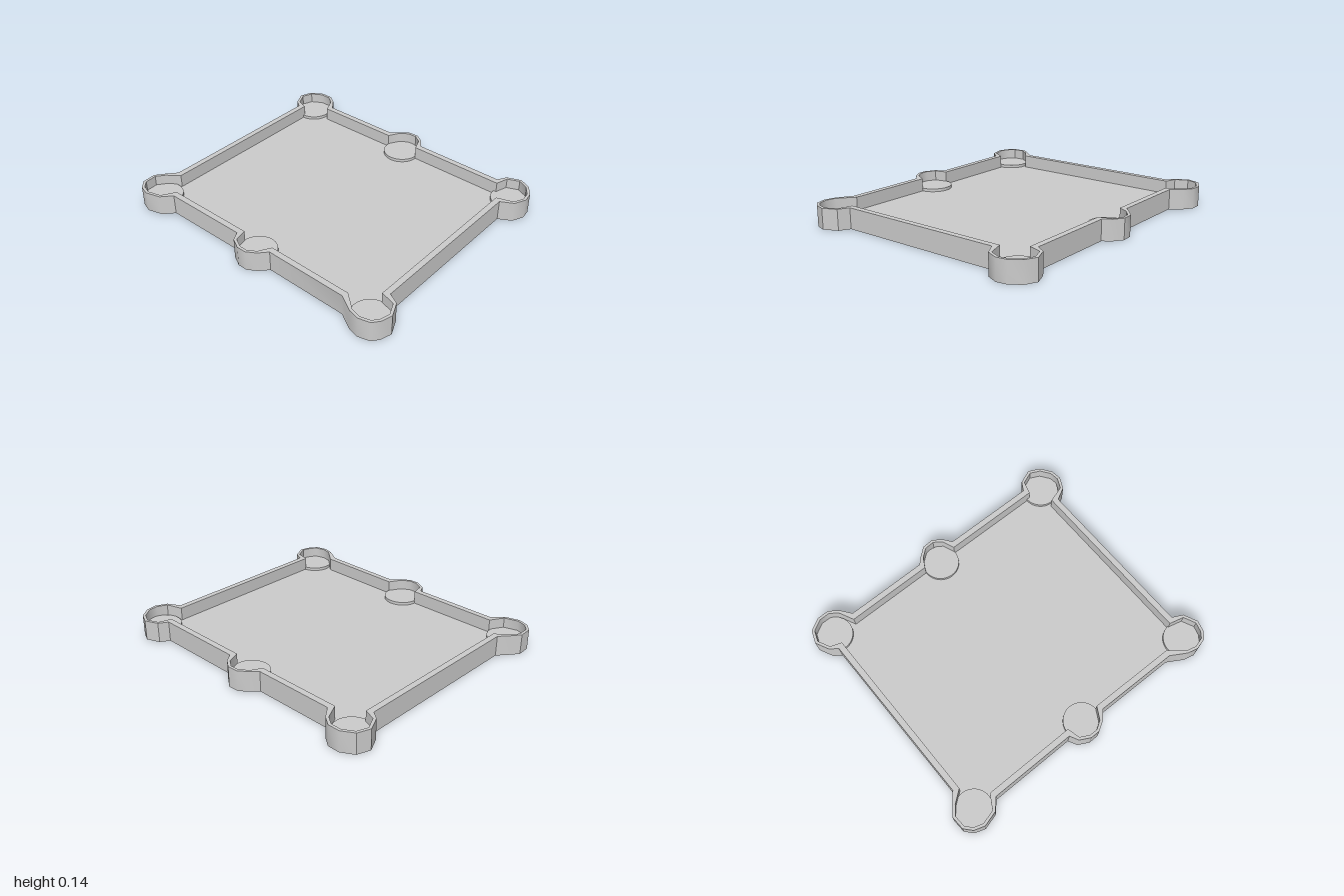
import * as THREE from 'three';
import { toCreasedNormals } from 'three/addons/utils/BufferGeometryUtils.js';

const HEIGHT = 0.137, FLOOR = 0.05, DISC = 0.07;
const WALL = 0.039, RIM = 0.018; // thickness along the sides and around the pockets

// Outer outline as [x, z], clockwise seen from above
const OUTLINE = [
  [-0.695, -0.745], [-0.15, -0.745], // back side
  [-0.11, -0.785], [-0.05, -0.833], [0.025, -0.837], [0.085, -0.795],
  [0.125, -0.74], [0.74, -0.737],
  [0.775, -0.797], [0.865, -0.833], [0.94, -0.797], [0.99, -0.727], [1, -0.657], [0.965, -0.58],
  [0.882, -0.535], [0.887, 0.59], // left side
  [0.957, 0.625], [1, 0.717], [0.98, 0.787], [0.945, 0.832], [0.87, 0.852], [0.8, 0.835],
  [0.695, 0.773], [0.135, 0.765], // front side
  [0.085, 0.82], [0.025, 0.857], [-0.04, 0.857], [-0.11, 0.82],
  [-0.14, 0.763], [-0.72, 0.763],
  [-0.78, 0.83], [-0.88, 0.858], [-0.95, 0.835], [-0.995, 0.785], [-1, 0.695], [-0.955, 0.635],
  [-0.9, 0.57], [-0.905, -0.605], // right side
  [-0.955, -0.64], [-1, -0.73], [-0.97, -0.813], [-0.89, -0.86], [-0.81, -0.86], [-0.75, -0.817],
];

// Pocket disc centres as [x, z]
const POCKETS = [
  [-0.865, -0.73], [-0.013, -0.697], [0.862, -0.697],
  [-0.865, 0.725], [0, 0.73], [0.862, 0.727],
];

// Move every corner inwards: thick where a long side starts or ends, thin in the pockets
function insetOutline(points) {
  const n = points.length;
  return points.map((p, i) => {
    const a = p.clone().sub(points[(i + n - 1) % n]);
    const b = points[(i + 1) % n].clone().sub(p);
    const t = Math.max(a.length(), b.length()) > 0.4 ? WALL : RIM;
    const na = new THREE.Vector2(a.y, -a.x).normalize();
    const nb = new THREE.Vector2(b.y, -b.x).normalize();
    const mid = na.clone().add(nb).normalize();
    return p.clone().addScaledVector(mid, t / mid.dot(na));
  });
}

function extrudeUp(shape, depth) {
  const geometry = new THREE.ExtrudeGeometry(shape, { depth, bevelEnabled: false });
  geometry.rotateX(-Math.PI / 2);
  return toCreasedNormals(geometry, 0.65);
}

export function createModel() {
  const group = new THREE.Group();
  group.name = 'pocketTray';
  const material = new THREE.MeshStandardMaterial({ color: 0xcccccc });
  const add = (name, geometry, x = 0, y = 0, z = 0) => {
    const mesh = new THREE.Mesh(geometry, material);
    mesh.name = name;
    mesh.position.set(x, y, z);
    group.add(mesh);
  };

  const outer = OUTLINE.map(([x, z]) => new THREE.Vector2(x, -z));
  const inner = insetOutline(outer);

  // Wall following the outline, bulging around each pocket; the hole runs the other way round
  const ring = new THREE.Shape(outer);
  ring.holes.push(new THREE.Path([...inner].reverse()));
  add('wall', extrudeUp(ring, HEIGHT));

  // Floor plate filling the wall
  add('floor', extrudeUp(new THREE.Shape(inner), FLOOR));

  // Raised round disc in every pocket
  const disc = new THREE.CylinderGeometry(0.12, 0.12, DISC - FLOOR, 48);
  POCKETS.forEach(([x, z], i) => add(`pocketDisc${i + 1}`, disc, x, (DISC + FLOOR) / 2, z));

  return group;
}
